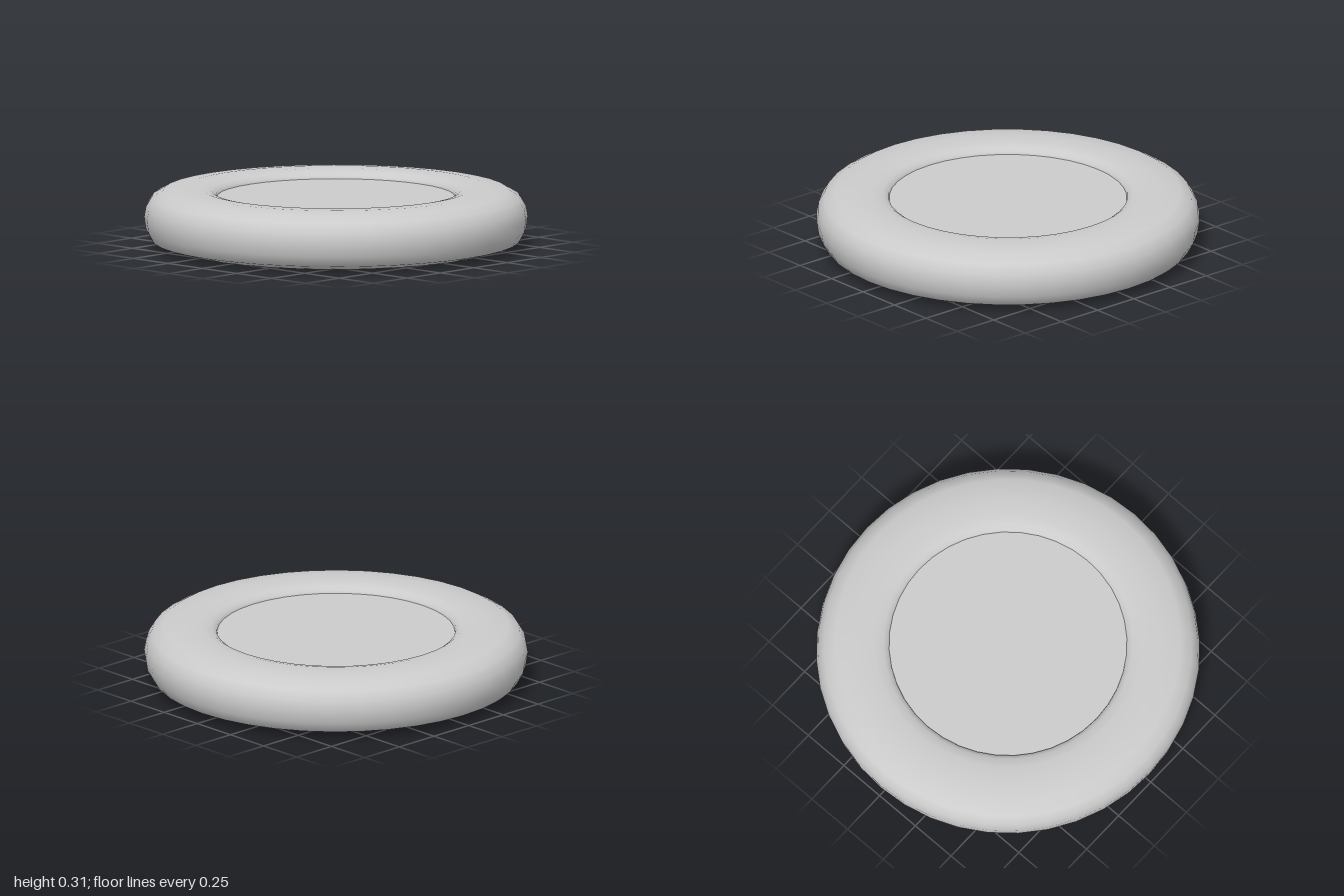
import * as THREE from 'three';

const SEGMENTS = 40;

// Revolve a list of [radius, height] points, running from the bottom outward and up
function revolve(name, points, material) {
  const profile = points.map(([r, y]) => new THREE.Vector2(r, y));
  const mesh = new THREE.Mesh(new THREE.LatheGeometry(profile, SEGMENTS), material);
  mesh.name = name;
  return mesh;
}

export function createModel() {
  const group = new THREE.Group();
  group.name = 'dish';
  const material = new THREE.MeshStandardMaterial({ color: 0xcccccc, side: THREE.DoubleSide });

  // Rounded body: slightly bowed base, bulging side, broad rim and inner lip
  group.add(revolve('body', [
    [0, 0], [0.4, 0.004], [0.85, 0.014], [0.96, 0.045], [0.99, 0.1], [1, 0.165],
    [0.99, 0.22], [0.96, 0.27], [0.9, 0.303], [0.79, 0.315], [0.7, 0.313],
    [0.65, 0.302], [0.625, 0.285], [0.62, 0.27],
  ], material));

  // Shallow recessed floor inside the rim
  const floor = new THREE.Mesh(new THREE.CircleGeometry(0.62, SEGMENTS), material);
  floor.name = 'recessedFloor';
  floor.rotation.x = -Math.PI / 2;
  floor.position.y = 0.27;
  group.add(floor);

  return group;
}
